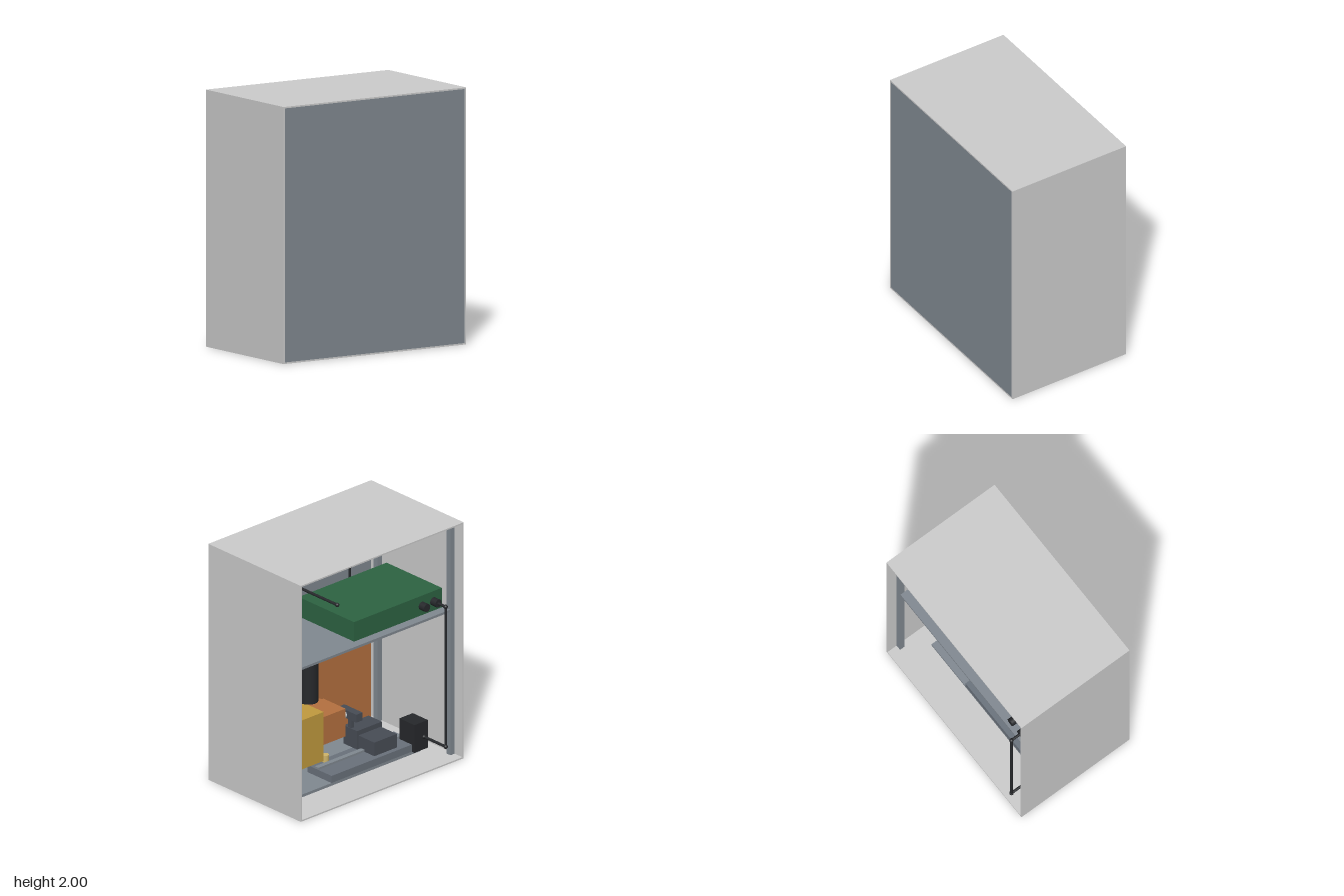
import * as THREE from 'three';

const mat = (color) => new THREE.MeshStandardMaterial({ color });
const M = {
  grey: mat(0xcccccc), steel: mat(0x808890), copper: mat(0xb4703f), flange: mat(0x8a4420),
  yellow: mat(0xc09a3e), brass: mat(0xcdb36a), green: mat(0x2d6342), navy: mat(0x4a5270),
  black: mat(0x26282b), dark: mat(0x474c55), bed: mat(0x69717b), shiny: mat(0xd0dae0),
};

export function createModel() {
  const model = new THREE.Group();
  const group = (name) => {
    const g = new THREE.Group();
    g.name = name;
    model.add(g);
    return g;
  };
  const add = (parent, name, geo, m) => {
    const mesh = new THREE.Mesh(geo, m);
    mesh.name = name;
    parent.add(mesh);
    return mesh;
  };
  // box given by its extents on each axis
  const box = (parent, name, m, x0, x1, y0, y1, z0, z1) => {
    const b = add(parent, name, new THREE.BoxGeometry(x1 - x0, y1 - y0, z1 - z0), m);
    b.position.set((x0 + x1) / 2, (y0 + y1) / 2, (z0 + z1) / 2);
    return b;
  };
  // straight rod between two points
  const rod = (parent, name, m, r, a, b, sides = 32) => {
    const p = new THREE.Vector3(...a), q = new THREE.Vector3(...b);
    const d = q.clone().sub(p);
    const c = add(parent, name, new THREE.CylinderGeometry(r, r, d.length(), sides), m);
    c.position.copy(p).add(q).multiplyScalar(0.5);
    c.quaternion.setFromUnitVectors(new THREE.Vector3(0, 1, 0), d.normalize());
    return c;
  };
  // cable of straight runs with ball joints
  const cable = (name, pts) => {
    const g = group(name);
    pts.forEach((p, i) => {
      add(g, 'cableJoint', new THREE.SphereGeometry(0.017, 16, 12), M.black).position.set(...p);
      if (i) rod(g, 'cableRun', M.black, 0.011, pts[i - 1], p, 12);
    });
  };

  // cabinet shell, open at the back
  const X = 0.853, Z = 0.523, T = 0.012;
  const shell = group('cabinet');
  box(shell, 'floor', M.grey, -X, X, 0, T, -Z, Z);
  box(shell, 'roof', M.grey, -X, X, 2 - T, 2, -Z, Z);
  for (const s of [-1, 1]) {
    const x = s * (X - T / 2);
    box(shell, 'sidePanel', M.grey, x - T / 2, x + T / 2, T, 2 - T, -Z, Z);
  }
  box(shell, 'frontPanel', M.steel, -X + T, X - T, T, 2 - T, Z - T, Z);

  // frame posts and shelf
  const frame = group('frame');
  for (const sx of [-1, 1]) for (const sz of [-1, 1]) {
    const x = sx * 0.819, z = sz * 0.412;
    box(frame, 'cornerPost', M.steel, x - 0.022, x + 0.022, T, 2 - T, z - 0.022, z + 0.022);
  }
  box(frame, 'shelf', M.steel, -0.797, 0.797, 1.225, 1.245, -0.43, 0.43);
  box(frame, 'shelfStrip', M.black, -0.65, -0.37, 1.21, 1.225, 0.38, 0.41);
  box(frame, 'mountingPlate', M.copper, -0.774, 0.774, 0.03, 1.18, 0.44, 0.475);
  box(frame, 'basePlate', M.steel, -0.68, 0.68, T, 0.035, -0.22, 0.4);

  // control box with two connectors
  const control = group('controlBox');
  box(control, 'controlHousing', M.green, -0.78, 0.14, 1.245, 1.41, -0.355, 0.27);
  for (const x of [-0.57, -0.69])
    rod(control, 'connector', M.black, 0.033, [x, 1.325, -0.355], [x, 1.325, -0.415], 24);

  // hanging spindle
  const spindle = group('spindle');
  box(spindle, 'spindleMount', M.navy, 0.066, 0.286, 1.005, 1.225, 0.007, 0.23);
  rod(spindle, 'spindleBody', M.black, 0.075, [0.176, 0.594, 0.12], [0.176, 1.005, 0.12], 40);

  // headstock and workpiece
  const head = group('headstock');
  box(head, 'headstockBody', M.yellow, 0.203, 0.556, 0.16, 0.575, -0.08, 0.315);
  box(head, 'headstockFlange', M.flange, 0.178, 0.203, 0.245, 0.485, -0.03, 0.28);
  box(head, 'chuckBlock', M.copper, -0.1, 0.178, 0.245, 0.48, 0, 0.25);
  box(head, 'chuckBracket', M.copper, -0.125, 0.1, 0.25, 0.45, 0.25, 0.32);
  rod(head, 'workpiece', M.shiny, 0.032, [-0.1, 0.36, 0.125], [-0.23, 0.36, 0.125]);

  // slide bed, carriage and tool holder
  const slide = group('slide');
  box(slide, 'slideBed', M.bed, -0.65, 0.25, 0.035, 0.095, -0.22, 0.05);
  box(slide, 'slideRail', M.steel, -0.65, 0.25, 0.095, 0.112, -0.07, -0.03);
  box(slide, 'carriage', M.dark, -0.47, -0.235, 0.095, 0.21, -0.18, 0);
  box(slide, 'crossSlide', M.dark, -0.48, -0.22, 0.095, 0.25, 0, 0.15);
  box(slide, 'toolColumn', M.dark, -0.255, -0.225, 0.25, 0.335, 0.07, 0.11);
  box(slide, 'toolHolder', M.dark, -0.265, -0.2, 0.333, 0.4, -0.014, 0.19);
  rod(slide, 'locatingPin', M.brass, 0.03, [0.1, 0.095, 0.015], [0.1, 0.15, 0.015], 24);
  box(slide, 'slideMotor', M.black, -0.73, -0.59, 0.035, 0.27, -0.25, -0.08);

  // cables
  cable('motorCable', [[-0.69, 1.325, -0.4], [-0.69, 1.325, -0.495], [-0.69, 0.14, -0.495], [-0.69, 0.14, -0.25]]);
  cable('shelfCable', [[0.043, 1.425, -0.06], [0.043, 1.425, 0.385], [-0.5, 1.425, 0.385], [-0.5, 1.245, 0.385]]);

  return model;
}
